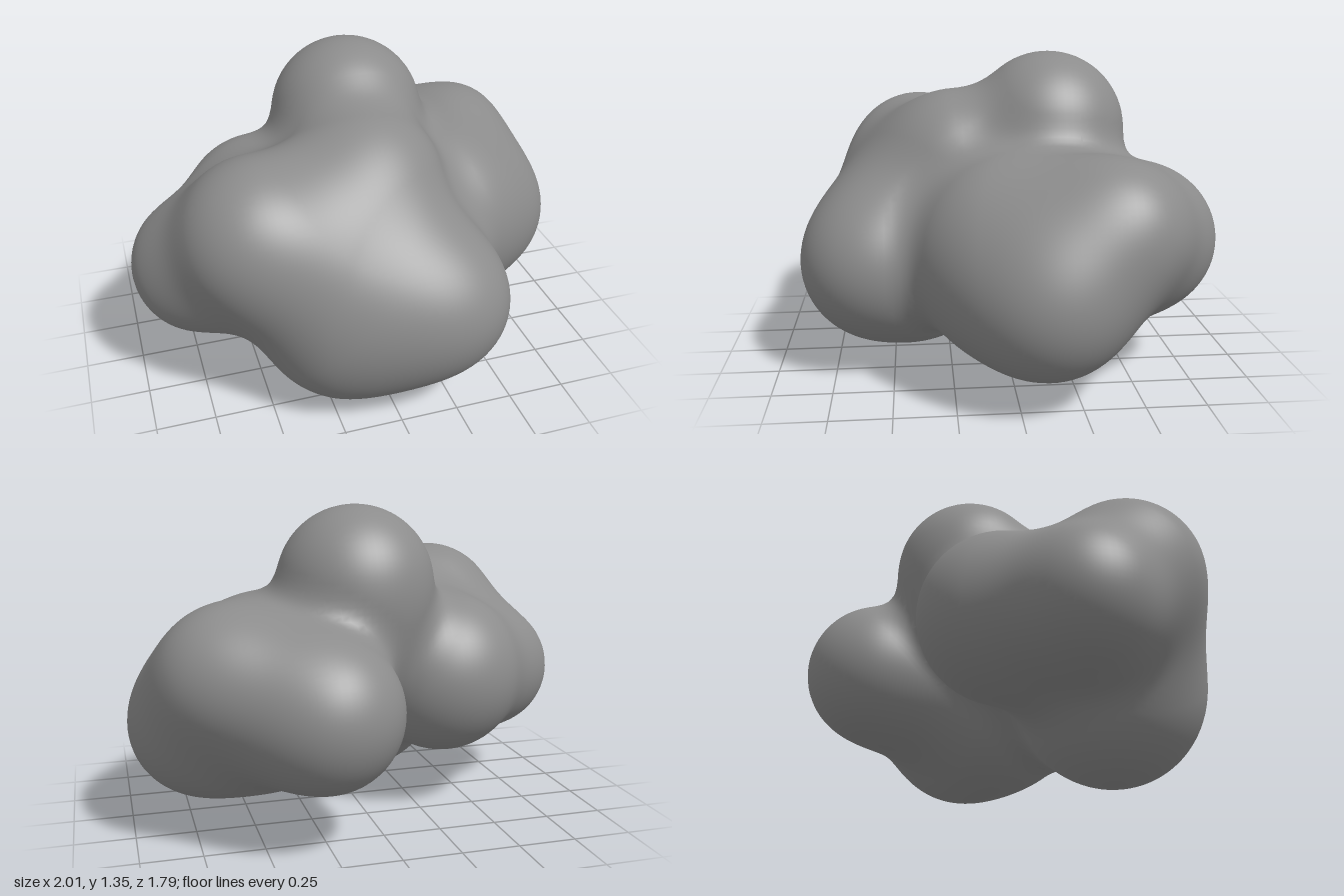
import * as THREE from 'three';

// Clusters of puffs [x, y, z, radius]; blend softens inside a cluster, join softens its seam
const CLUSTERS = [
  { join: 0, blend: 0.25, puffs: [
    [-0.13, 0.41, 0.41, 0.41],   // belly
    [-0.1, 0.62, 0.36, 0.36],    // chest
    [-0.49, 0.78, 0.37, 0.34],   // upper left front
    [0.01, 0.865, 0.19, 0.325],  // upper middle front
    [0.2, 0.47, 0.57, 0.31],     // lower right front
  ] },
  { join: 0.18, blend: 0.18, puffs: [
    [-0.7, 0.55, 0.13, 0.3],     // left side
    [-0.38, 0.6, -0.12, 0.36],   // left back
  ] },
  { join: 0.12, blend: 0.25, puffs: [
    [0.38, 0.535, -0.02, 0.445], // right middle
    [0.62, 0.685, -0.38, 0.295], // right back
    [0.715, 0.43, -0.12, 0.28],  // right side
    [0.27, 0.57, -0.57, 0.32],   // back
  ] },
  { join: 0.13, blend: 0.15, puffs: [
    [0.04, 1.02, -0.19, 0.335],  // crown
    [0.03, 0.82, -0.19, 0.27],   // crown base
  ] },
];

function smoothMin(a, b, k) {
  const h = Math.max(k - Math.abs(a - b), 0);
  return Math.min(a, b) - (h > 0 ? (h * h) / (4 * k) : 0);
}

// Distance to the smoothly merged puffs
function field(x, y, z) {
  let total = 10;
  for (const { join, blend, puffs } of CLUSTERS) {
    let d = 10;
    for (const [cx, cy, cz, r] of puffs)
      d = smoothMin(d, Math.hypot(x - cx, y - cy, z - cz) - r, blend);
    total = smoothMin(total, d, join);
  }
  return total;
}

function gradient(p) {
  const e = 0.002;
  return new THREE.Vector3(
    field(p.x + e, p.y, p.z) - field(p.x - e, p.y, p.z),
    field(p.x, p.y + e, p.z) - field(p.x, p.y - e, p.z),
    field(p.x, p.y, p.z + e) - field(p.x, p.y, p.z - e)
  ).divideScalar(2 * e);
}

// Surface nets: one vertex per crossed cell, one quad per crossed grid edge
function cloudGeometry() {
  const step = 0.03, min = [-1.12, -0.12, -1.02], n = [75, 54, 69];
  const stride = [1, n[0], n[0] * n[1]];
  const values = new Float32Array(n[0] * n[1] * n[2]);
  const eachCell = (from, margin, fn) => {
    for (let k = from; k < n[2] - margin; k++)
      for (let j = from; j < n[1] - margin; j++)
        for (let i = from; i < n[0] - margin; i++) fn(i, j, k, i + j * stride[1] + k * stride[2]);
  };
  eachCell(0, 0, (i, j, k, c) => {
    values[c] = field(min[0] + i * step, min[1] + j * step, min[2] + k * step);
  });

  const positions = [], normals = [], index = [];
  const vertexOf = new Int32Array(values.length).fill(-1);
  eachCell(0, 1, (i, j, k, c) => {
    let inside = 0;
    for (let b = 0; b < 8; b++)
      if (values[c + (b & 1) + ((b >> 1) & 1) * stride[1] + (b >> 2) * stride[2]] < 0) inside++;
    if (inside === 0 || inside === 8) return;
    const p = new THREE.Vector3(
      min[0] + (i + 0.5) * step, min[1] + (j + 0.5) * step, min[2] + (k + 0.5) * step);
    // slide the cell centre onto the surface
    for (let t = 0; t < 4; t++) {
      const g = gradient(p);
      p.addScaledVector(g, -field(p.x, p.y, p.z) / Math.max(g.lengthSq(), 0.2));
    }
    vertexOf[c] = positions.length / 3;
    positions.push(p.x, p.y, p.z);
    normals.push(...gradient(p).normalize().toArray());
  });
  eachCell(1, 1, (i, j, k, c) => {
    for (let a = 0; a < 3; a++) {
      const inA = values[c] < 0, inB = values[c + stride[a]] < 0;
      if (inA === inB) continue;
      const u = stride[(a + 1) % 3], v = stride[(a + 2) % 3];
      const q = [c - u - v, c - v, c, c - u].map((m) => vertexOf[m]);
      if (!inA) q.reverse();
      index.push(q[0], q[1], q[2], q[0], q[2], q[3]);
    }
  });

  const geometry = new THREE.BufferGeometry();
  geometry.setAttribute('position', new THREE.Float32BufferAttribute(positions, 3));
  geometry.setAttribute('normal', new THREE.Float32BufferAttribute(normals, 3));
  geometry.setIndex(index);
  return geometry;
}

export function createModel() {
  const group = new THREE.Group();
  group.name = 'cloud';
  const body = new THREE.Mesh(
    cloudGeometry(), new THREE.MeshStandardMaterial({ color: 0x8c8c8c }));
  body.name = 'cloudBody';
  group.add(body);
  return group;
}
